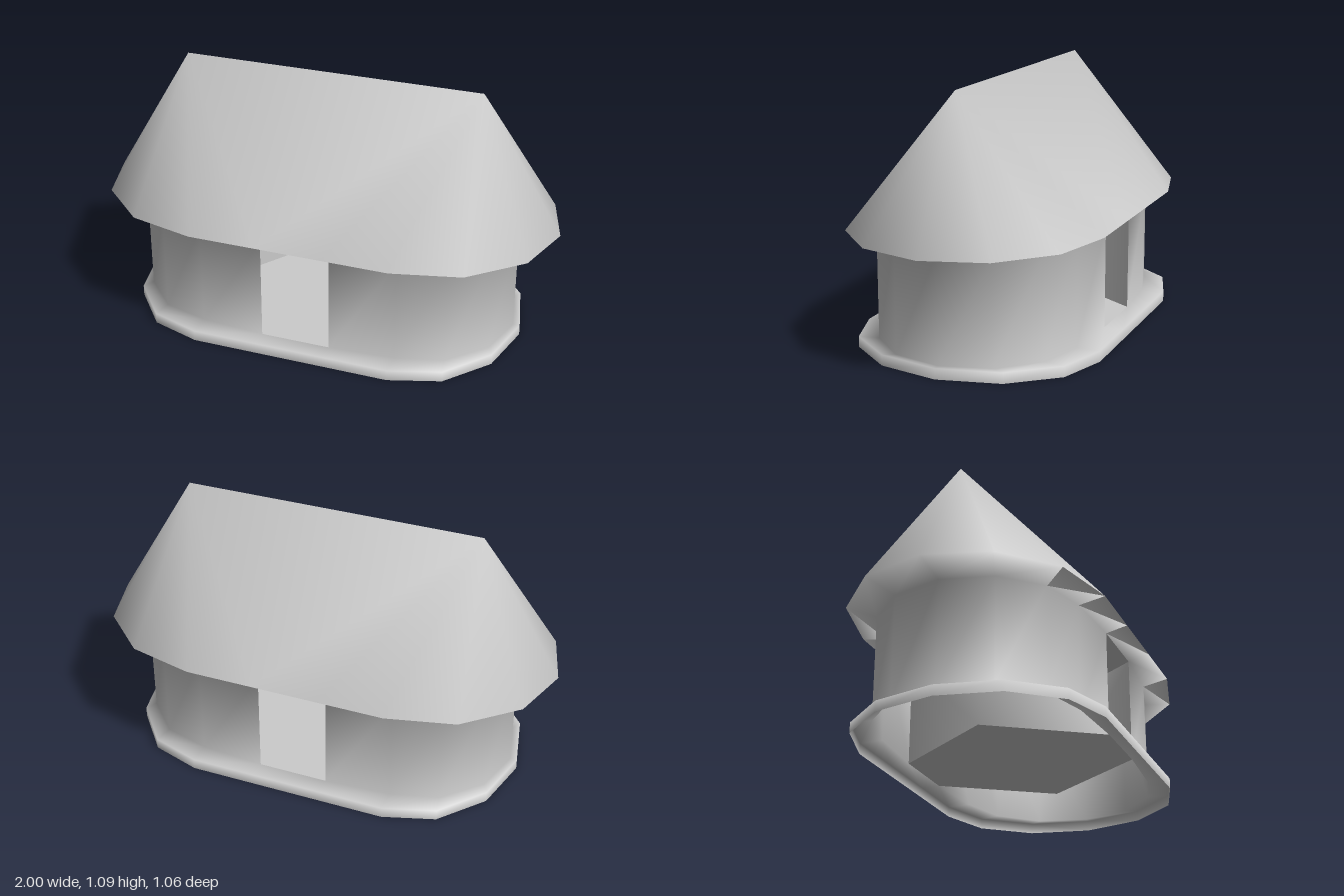
import * as THREE from 'three';

const DOOR = 0.15; // half width of the doorways

// Closed long oval plan: two rounded ends joined by straight sides
function oval(rx, rz, y, doorZ = rz) {
  const end = [[DOOR, y, doorZ]];
  for (let i = 0; i < 7; i++) {
    const a = Math.PI / 2 - (i * Math.PI) / 6;
    end.push([0.43 + rx * Math.cos(a), y, rz * Math.sin(a)]);
  }
  end.push([DOOR, y, -doorZ]);
  return [...end, ...end.map(([x, , z]) => [-x, y, -z])];
}

// Ridge line with one point for each point of the oval
const ridge = (x, y) => Array.from({ length: 18 }, (_, i) => [i < 9 ? x : -x, y, 0]);

// Skins between successive closed loops, sharing smooth normals.
// Each layer lists the segments left open; one geometry is returned per layer.
function skins(loops, openings) {
  const pos = [];
  const seen = new Map();
  const ids = loops.map((loop) => loop.map((p) => {
    const key = p.map((v) => v.toFixed(4)).join();
    if (!seen.has(key)) {
      seen.set(key, seen.size);
      pos.push(...p);
    }
    return seen.get(key);
  }));
  const layers = openings.map((open, k) => {
    const index = [];
    const tri = (a, b, c) => {
      if (a !== b && b !== c && c !== a) index.push(a, b, c);
    };
    const [low, high] = [ids[k], ids[k + 1]];
    low.forEach((a, i) => {
      if (open.includes(i)) return;
      const j = (i + 1) % low.length;
      tri(a, low[j], high[j]);
      tri(a, high[j], high[i]);
    });
    return index;
  });
  const whole = new THREE.BufferGeometry();
  whole.setAttribute('position', new THREE.Float32BufferAttribute(pos, 3));
  whole.setIndex(layers.flat());
  whole.computeVertexNormals();
  return layers.map((index) => whole.clone().setIndex(index));
}

export function createModel() {
  const model = new THREE.Group();
  model.name = 'hut';
  const material = new THREE.MeshStandardMaterial({ color: 0xcccccc, side: THREE.DoubleSide });
  const add = (name, geo) => {
    const mesh = new THREE.Mesh(geo, material);
    mesh.name = name;
    model.add(mesh);
  };

  // Outside: base, walls open at the front and back doorways, eaves and hipped roof
  const outside = skins(
    [
      oval(0.43, 0.52, 0),
      oval(0.43, 0.52, 0.045),
      oval(0.4, 0.42, 0.045, 0.44),
      oval(0.4, 0.42, 0.49, 0.44),
      oval(0.57, 0.53, 0.51),
      ridge(0.65, 1.09),
    ],
    [[], [], [8, 17], [], []],
  );
  ['baseRim', 'baseLedge', 'outerWalls', 'eaves', 'roof'].forEach((name, i) => add(name, outside[i]));

  // Room: six-sided plan that widens between the two doorways
  const plan = [[DOOR, 0.44], [0.44, 0], [DOOR, -0.44], [-DOOR, -0.44], [-0.44, 0], [-DOOR, 0.44]];
  const roomLoop = (y) => plan.map(([x, z]) => [x, y, z]);
  add('roomWalls', skins([roomLoop(0.49), roomLoop(0.045)], [[2, 5]])[0]);

  // Floor and ceiling of the room
  const slab = new THREE.Shape(plan.map(([x, z]) => new THREE.Vector2(x, z)));
  add('floor', new THREE.ShapeGeometry(slab).rotateX(-Math.PI / 2).translate(0, 0.045, 0));
  add('ceiling', new THREE.ShapeGeometry(slab).rotateX(Math.PI / 2).translate(0, 0.49, 0));

  return model;
}
